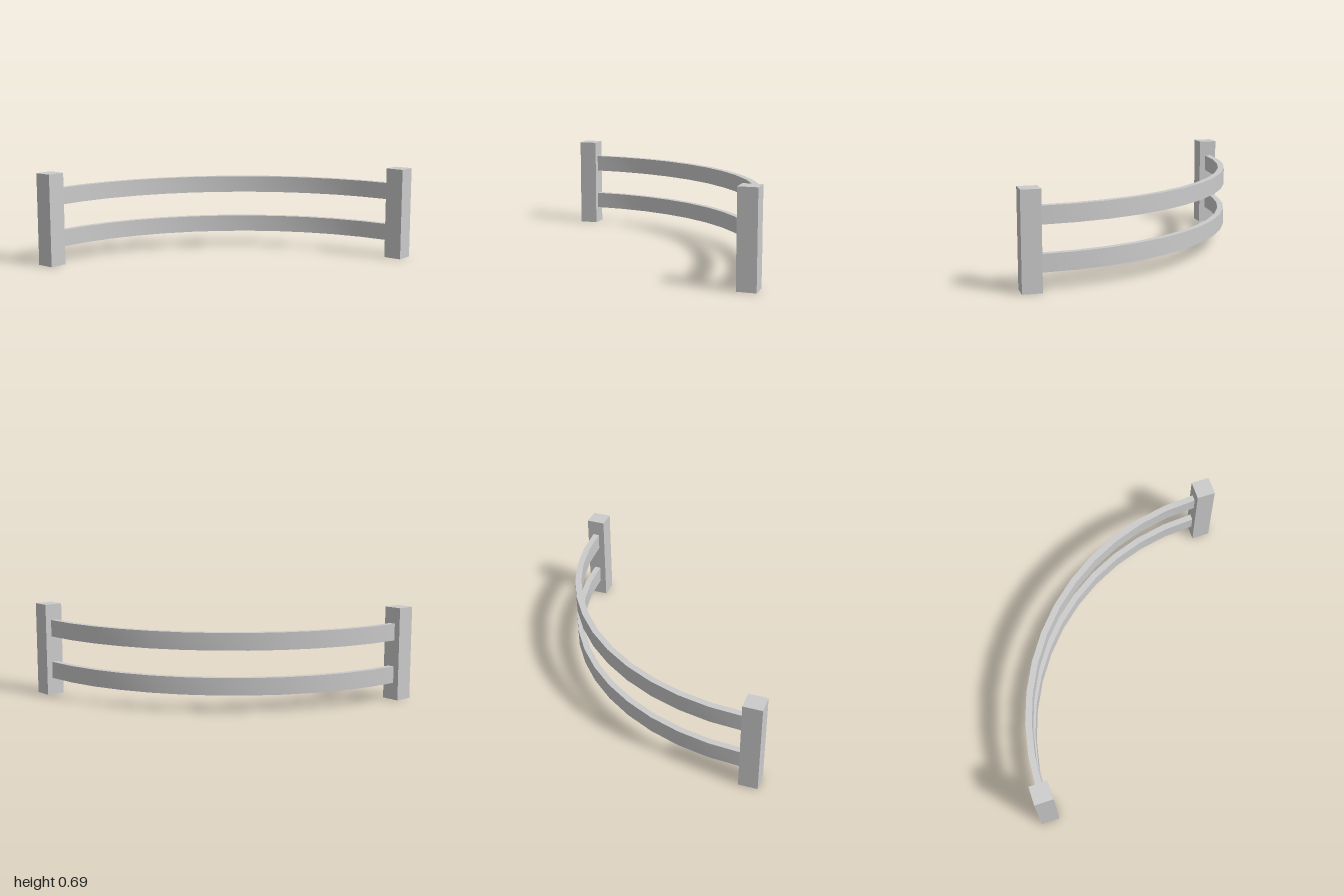
import * as THREE from 'three';
import { toCreasedNormals } from 'three/addons/utils/BufferGeometryUtils.js';

const POST_WIDTH = 0.138, POST_HEIGHT = 0.69;
const RAIL_HEIGHT = 0.125, SEGMENTS = 12;
const INNER = 1.77, OUTER = 1.817;
const CENTRE = 1 - POST_WIDTH; // arc centre is at (-CENTRE, CENTRE) in x, z

// Quarter-ring rail, faceted in plan with smooth shading along the bend
function railGeometry() {
  const outer = [], inner = [];
  for (let i = 0; i <= SEGMENTS; i++) {
    const a = (i / SEGMENTS) * Math.PI / 2;
    const at = r => new THREE.Vector2(-CENTRE + r * Math.cos(a), -CENTRE + r * Math.sin(a));
    outer.push(at(OUTER));
    inner.unshift(at(INNER));
  }
  const geometry = new THREE.ExtrudeGeometry(new THREE.Shape([...outer, ...inner]), {
    depth: RAIL_HEIGHT, bevelEnabled: false,
  });
  geometry.rotateX(-Math.PI / 2);
  return toCreasedNormals(geometry, 0.5);
}

export function createModel() {
  const group = new THREE.Group();
  group.name = 'curvedFence';
  const material = new THREE.MeshStandardMaterial({ color: 0xcccccc });

  // Square posts at both ends of the arc
  const post = new THREE.BoxGeometry(POST_WIDTH, POST_HEIGHT, POST_WIDTH);
  const offset = 1 - POST_WIDTH / 2;
  for (const [name, side] of [['frontPost', 1], ['backPost', -1]]) {
    const mesh = new THREE.Mesh(post, material);
    mesh.name = name;
    mesh.position.set(side * offset, POST_HEIGHT / 2, side * offset);
    group.add(mesh);
  }

  // Two curved rails
  const rail = railGeometry();
  for (const [name, y] of [['lowerRail', 0.126], ['upperRail', 0.446]]) {
    const mesh = new THREE.Mesh(rail, material);
    mesh.name = name;
    mesh.position.y = y;
    group.add(mesh);
  }
  return group;
}
